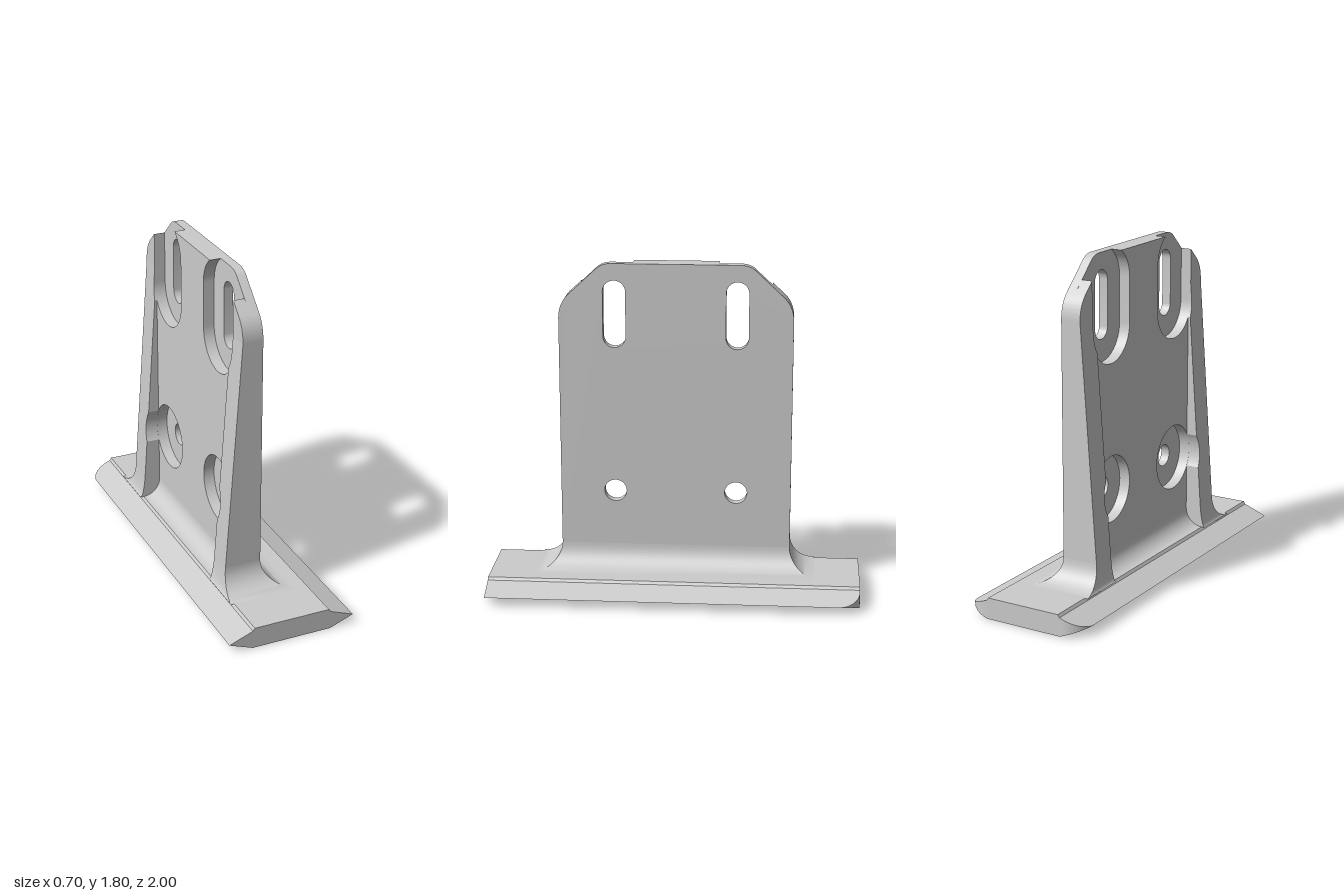
import * as THREE from 'three';
import { toCreasedNormals, mergeVertices } from 'three/addons/utils/BufferGeometryUtils.js';

const material = new THREE.MeshStandardMaterial({ color: 0xcccccc });
const HOLE_Z = 0.325, HOLE_Y = 0.555, SLOT_LOW = 1.41, SLOT_HIGH = 1.65;
const HOLE_R = 0.06, BORE_R = 0.18;
const BASE_TOP = 0.115, FOOT_TOP = 0.25, RIB_TOP = 1.5, RIB_IN = 0.48, HALF_W = 0.62;

function part(name, geometry) {
  const mesh = new THREE.Mesh(toCreasedNormals(geometry, 0.5), material);
  mesh.name = name;
  return mesh;
}

// Skin through rings of [x, y, z] points, optionally closing both convex ends
function loft(rings, capped) {
  const n = rings[0].length, index = [];
  rings.slice(1).forEach((_, i) => {
    for (let j = 0; j < n; j++) {
      const a = i * n + j, b = i * n + (j + 1) % n;
      index.push(a, b, b + n, a, b + n, a + n);
    }
  });
  if (capped) {
    const last = (rings.length - 1) * n;
    for (let j = 1; j < n - 1; j++) {
      index.push(0, j + 1, j, last, last + j, last + j + 1);
    }
  }
  const g = new THREE.BufferGeometry();
  g.setAttribute('position', new THREE.Float32BufferAttribute(rings.flat(2), 3));
  g.setIndex(index);
  return g;
}

// Extrude a (z, y) shape towards -x
function extrudeBack(shape, depth, x) {
  return new THREE.ExtrudeGeometry(shape, { depth, bevelEnabled: false, curveSegments: 20 })
    .rotateY(-Math.PI / 2).translate(x, 0, 0);
}

function circle(z, y, r) {
  return new THREE.Path().absarc(z, y, r, 0, Math.PI * 2, true);
}

function slot(z) {
  const p = new THREE.Path();
  p.absarc(z, SLOT_HIGH, HOLE_R, 0, Math.PI, false);
  p.absarc(z, SLOT_LOW, HOLE_R, Math.PI, Math.PI * 2, false);
  p.closePath();
  return p;
}

// Plate outline with clipped top corners; recessed adds the open slot pockets
function plateShape(recessed) {
  const s = new THREE.Shape();
  s.moveTo(-HALF_W, FOOT_TOP);
  s.lineTo(HALF_W, FOOT_TOP);
  s.lineTo(HALF_W, 1.5);
  s.quadraticCurveTo(HALF_W, 1.58, 0.57, 1.63);
  if (recessed) {
    const a = Math.asin((1.8 - SLOT_HIGH) / BORE_R);
    s.lineTo(HOLE_Z + BORE_R, 1.69);
    s.absarc(HOLE_Z, SLOT_LOW, BORE_R, 0, -Math.PI, true);
    s.absarc(HOLE_Z, SLOT_HIGH, BORE_R, Math.PI, Math.PI - a, true);
    s.absarc(-HOLE_Z, SLOT_HIGH, BORE_R, a, 0, true);
    s.absarc(-HOLE_Z, SLOT_LOW, BORE_R, 0, -Math.PI, true);
    s.lineTo(-HOLE_Z - BORE_R, 1.69);
  } else {
    s.lineTo(0.42, 1.77);
    s.quadraticCurveTo(0.39, 1.8, 0.34, 1.8);
    s.lineTo(-0.34, 1.8);
    s.quadraticCurveTo(-0.39, 1.8, -0.42, 1.77);
  }
  s.lineTo(-0.57, 1.63);
  s.quadraticCurveTo(-HALF_W, 1.58, -HALF_W, 1.5);
  s.closePath();
  for (const z of [-HOLE_Z, HOLE_Z]) {
    s.holes.push(circle(z, HOLE_Y, recessed ? BORE_R : HOLE_R));
    if (!recessed) s.holes.push(slot(z));
  }
  return s;
}

// Sloping rear face of the ribs
const ribBack = y => -0.11 - 0.089 * (RIB_TOP - y) / (RIB_TOP - FOOT_TOP);

// Tapered side rib, scalloped where the pockets bite into it
function ribGeometry(side) {
  const a = Math.acos((RIB_IN - HOLE_Z) / BORE_R);
  const s = new THREE.Shape();
  s.moveTo(RIB_IN, FOOT_TOP);
  s.lineTo(HALF_W, FOOT_TOP);
  s.lineTo(HALF_W, RIB_TOP);
  s.lineTo(HOLE_Z + BORE_R, RIB_TOP);
  s.absarc(HOLE_Z, SLOT_LOW, BORE_R, 0, -a, true);
  s.absarc(HOLE_Z, HOLE_Y, BORE_R, a, -a, true);
  s.closePath();
  const points = s.getPoints(20).map(p => new THREE.Vector2(p.x * side, p.y));
  const g = extrudeBack(new THREE.Shape(points), 1, 0);
  const pos = g.attributes.position;
  for (let i = 0; i < pos.count; i++) {
    pos.setX(i, pos.getX(i) < -0.5 ? ribBack(pos.getY(i)) : -0.11);
  }
  return g;
}

// Concave fillet: outward flare at height h above the base
const flare = (h, r) => h >= r ? 0 : r - Math.sqrt(r * r - (r - h) ** 2);

// Filleted U-shaped foot joining plate and ribs to the base
function footGeometry() {
  const rings = [], steps = 14, height = FOOT_TOP - BASE_TOP;
  for (let i = 0; i <= steps; i++) {
    const h = height * (i / steps) ** 2, y = BASE_TOP + h;
    const f = flare(h, height), w = HALF_W + f;
    const back = ribBack(y) - 0.15 * f;
    const pocket = Math.max(back, -0.11 - flare(h, 0.1));
    rings.push([
      [back, y, w], [f, y, w], [f, y, -w], [back, y, -w],
      [back, y, -RIB_IN], [pocket, y, -RIB_IN], [pocket, y, RIB_IN], [back, y, RIB_IN],
    ]);
  }
  return loft(rings, false);
}

// Knife-edged base bar with rounded corners at the rear end
function baseGeometry() {
  const r = 0.12, rings = [];
  const ring = (z, w) => {
    const t = 0.05 * (w - 0.22) / 0.13;
    const right = [[0.22, 0], [w, t], [w, 0.1 - t], [0.22, 0.1], [0.21, BASE_TOP]];
    const left = right.map(([x, y]) => [-x, y]).reverse();
    rings.push([...right, ...left].map(([x, y]) => [x, y, z]));
  };
  for (let i = 0; i <= 12; i++) {
    const a = (i / 12) * Math.PI / 2;
    ring(-1 + r * (1 - Math.cos(a)), 0.35 - r * (1 - Math.sin(a)));
  }
  ring(1, 0.35);
  return loft(rings, true);
}

export function createModel() {
  const model = new THREE.Group();
  model.name = 'mountingBracket';
  model.add(
    part('base', baseGeometry()),
    part('filletedFoot', footGeometry()),
    part('plateFront', extrudeBack(plateShape(false), 0.05, 0)),
    part('plateRecessedBack', extrudeBack(plateShape(true), 0.06, -0.05)),
    part('leftRib', ribGeometry(1)),
    part('rightRib', ribGeometry(-1)),
  );
  return model;
}
